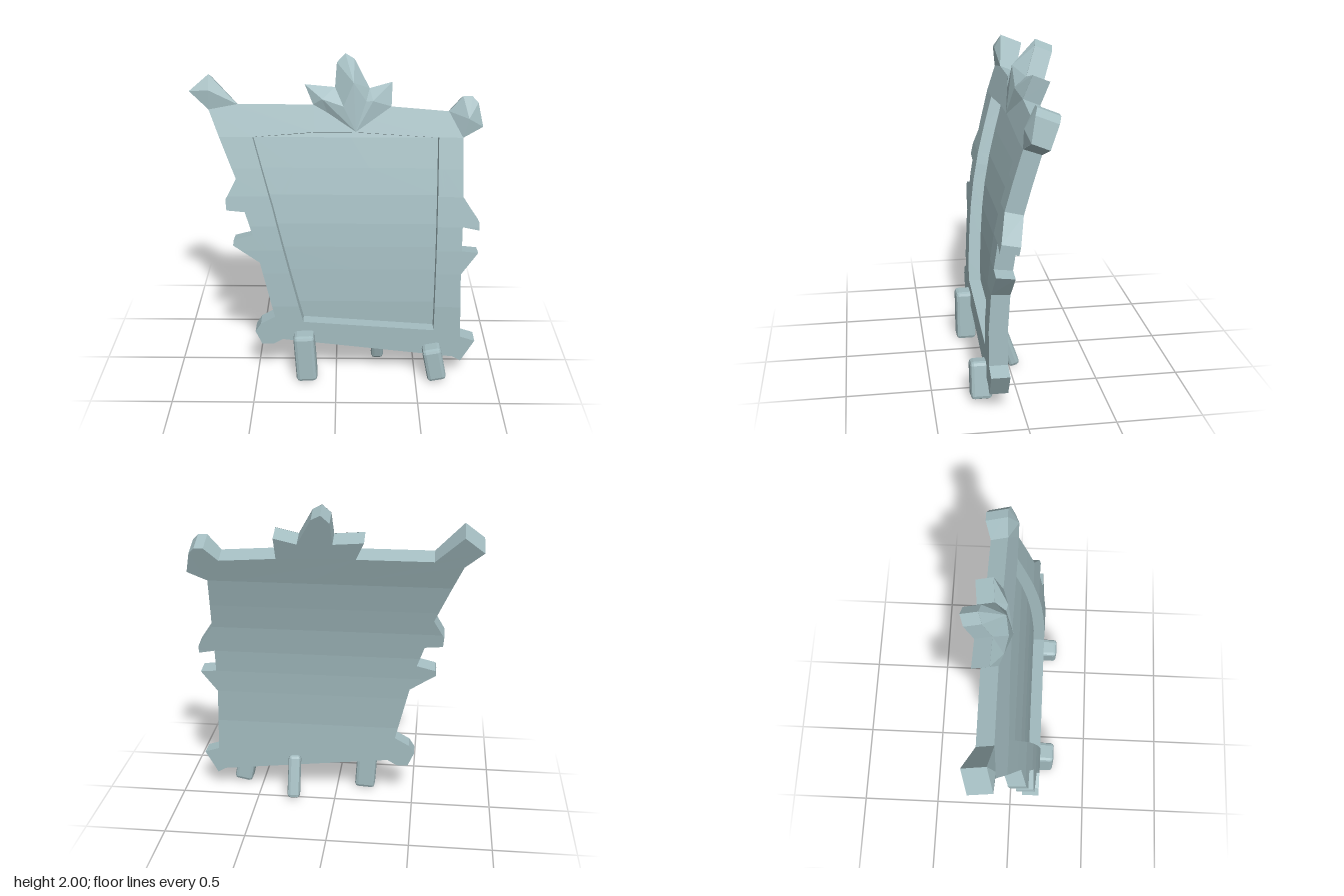
import * as THREE from 'three';
import { RoundedBoxGeometry } from 'three/addons/geometries/RoundedBoxGeometry.js';

const THICK = 0.108, RECESS = 0.075;

// Side profile of the front surface: [height, depth]
const BEND = [[0, 0.19], [0.5, 0.19], [0.72, 0.175], [0.87, 0.16], [1.02, 0.138],
  [1.2, 0.1], [1.36, 0.055], [1.54, 0], [2, -0.185]];
const LEVELS = [0.5, 0.72, 0.87, 1.02, 1.2, 1.36, 1.54];

const OUTLINE = [
  // top corner on the -x side, then the crown
  [-0.87, 1.787], [-0.755, 1.88], [-0.59, 1.72], [-0.14, 1.72],
  [-0.19, 1.83], [-0.01, 1.815], [0, 1.95], [0.05, 2], [0.105, 1.97], [0.195, 1.81], [0.33, 1.845], [0.325, 1.71],
  // other top corner and its notched side
  [0.665, 1.685], [0.745, 1.765], [0.8, 1.765], [0.835, 1.73], [0.867, 1.6], [0.75, 1.54],
  [0.76, 1.2], [0.86, 1.05], [0.86, 1], [0.76, 1.02], [0.76, 0.87], [0.86, 0.86], [0.76, 0.72],
  // bottom edge
  [0.775, 0.29], [0.867, 0.26], [0.785, 0.115], [0.735, 0.145], [-0.335, 0.265],
  [-0.395, 0.23], [-0.465, 0.23], [-0.505, 0.32], [-0.47, 0.375], [-0.38, 0.425],
  // notched slanting side
  [-0.465, 0.79], [-0.625, 0.9], [-0.62, 0.935], [-0.505, 0.965], [-0.55, 1.105],
  [-0.66, 1.115], [-0.665, 1.18], [-0.6, 1.3], [-0.76, 1.69],
];
// Listed the opposite way round, so that the walls of the hole face inwards
const OPENING = [[-0.385, 1.13], [-0.205, 0.39], [0.608, 0.335], [0.608, 1.54],
  [0.115, 1.568], [-0.13, 1.568], [-0.5, 1.54]];

// Depth of the front surface at height y
function depthAt(y) {
  let i = 1;
  while (i < BEND.length - 1 && y > BEND[i][0]) i++;
  const [y0, z0] = BEND[i - 1], [y1, z1] = BEND[i];
  return z0 + (z1 - z0) * (y - y0) / (y1 - y0);
}

// Point at distance s behind the curved front surface
function bend(x, y, s) {
  const slope = (depthAt(y + 0.06) - depthAt(y - 0.06)) / 0.12;
  const len = Math.hypot(1, slope);
  return [x, y + s * slope / len, depthAt(y) - s / len];
}

// Keep the part of a convex polygon on one side of a height
function clip(poly, level, sign) {
  const out = [];
  poly.forEach((a, i) => {
    const b = poly[(i + 1) % poly.length];
    const da = (a.y - level) * sign, db = (b.y - level) * sign;
    if (da >= 0) out.push(a);
    if (da * db < 0) out.push(a.clone().lerp(b, da / (da - db)));
  });
  return out;
}

function meshFrom(positions, name, material) {
  const g = new THREE.BufferGeometry();
  g.setAttribute('position', new THREE.Float32BufferAttribute(positions, 3));
  g.computeVertexNormals();
  const mesh = new THREE.Mesh(g, material);
  mesh.name = name;
  return mesh;
}

// Extrude a flat shape, slice it into horizontal bands and bend it
function curvedSlab(shape, depth, name, material) {
  const p = new THREE.ExtrudeGeometry(shape, { depth, bevelEnabled: false }).attributes.position;
  const positions = [], cuts = [-1, ...LEVELS, 3];
  for (let i = 0; i < p.count; i += 3) {
    const tri = [0, 1, 2].map((k) => new THREE.Vector3().fromBufferAttribute(p, i + k));
    for (let c = 0; c < cuts.length - 1; c++) {
      const poly = clip(clip(tri, cuts[c], 1), cuts[c + 1], -1);
      for (let k = 1; k < poly.length - 1; k++) {
        for (const v of [poly[0], poly[k], poly[k + 1]]) positions.push(...bend(v.x, v.y, THICK - v.z));
      }
    }
  }
  return meshFrom(positions, name, material);
}

// Raised facets: a fan from a ridge point to a rim listed anticlockwise,
// with walls down to the frame where the rim itself is lifted
function facets(name, material, apex, rim, walls) {
  const positions = [];
  const put = ([x, y, lift = 0.001]) => positions.push(...bend(x, y, -lift));
  rim.forEach((a, i) => {
    const b = rim[(i + 1) % rim.length];
    [apex, a, b].forEach(put);
    if (walls && (a[2] || b[2])) {
      const a0 = [a[0], a[1], 0], b0 = [b[0], b[1], 0];
      [a, a0, b0, a, b0, b].forEach(put);
    }
  });
  return meshFrom(positions, name, material);
}

export function createModel() {
  const model = new THREE.Group();
  model.name = 'standingFrame';
  const material = new THREE.MeshStandardMaterial({ color: 0xa3bcc0, flatShading: true });
  const thin = material.clone();
  thin.side = THREE.DoubleSide;
  const points = (list) => list.map(([x, y]) => new THREE.Vector2(x, y));

  // Curved frame and recessed panel
  const frame = new THREE.Shape(points(OUTLINE));
  frame.holes.push(new THREE.Path(points(OPENING)));
  model.add(curvedSlab(frame, THICK, 'frame', material));
  model.add(curvedSlab(new THREE.Shape(points(OPENING)), THICK - RECESS, 'panel', material));

  // Swollen top corners
  model.add(facets('topCorner', thin, [-0.755, 1.79, 0.048],
    [[-0.755, 1.88, 0.04], [-0.87, 1.787, 0.04], [-0.76, 1.69], [-0.59, 1.72]], true));
  model.add(facets('topCorner', thin, [0.78, 1.64, 0.045],
    [[0.665, 1.685], [0.75, 1.54], [0.867, 1.6], [0.835, 1.73, 0.03], [0.8, 1.765, 0.03], [0.745, 1.765, 0.03]], true));

  // Crown of three ridged petals meeting in a point
  const crown = new THREE.Group();
  crown.name = 'crown';
  const tip = [0.115, 1.57, 0.01], valleyA = [0.04, 1.705, 0.045], valleyB = [0.175, 1.735, 0.035];
  const notchA = [-0.01, 1.815], notchB = [0.195, 1.81];
  crown.add(facets('sidePetal', thin, [-0.085, 1.745, 0.04],
    [[-0.19, 1.83], [-0.14, 1.72], [-0.055, 1.675], tip, valleyA, notchA], false));
  crown.add(facets('middlePetal', thin, [0.1, 1.83, 0.082],
    [notchA, valleyA, tip, valleyB, notchB, [0.105, 1.97], [0.05, 2], [0, 1.95]], false));
  crown.add(facets('sidePetal', thin, [0.215, 1.735, 0.045],
    [notchB, valleyB, tip, [0.325, 1.71], [0.33, 1.845]], false));
  model.add(crown);

  // Chamfered legs: name, size, centre, tilt about x, tilt about z
  const legs = [
    ['frontLeg', [0.13, 0.32, 0.125], [-0.192, 0.167, 0.22], 0, 0.06],
    ['frontLeg', [0.118, 0.225, 0.125], [0.615, 0.128, 0.22], 0, 0.2],
    ['backLeg', [0.08, 0.28, 0.07], [0.265, 0.15, 0.012], 0.33, 0],
  ];
  for (const [name, size, centre, tiltX, tiltZ] of legs) {
    const leg = new THREE.Mesh(new RoundedBoxGeometry(...size, 1, 0.022), material);
    leg.name = name;
    leg.position.set(...centre);
    leg.rotation.set(tiltX, 0, tiltZ);
    model.add(leg);
  }
  return model;
}
